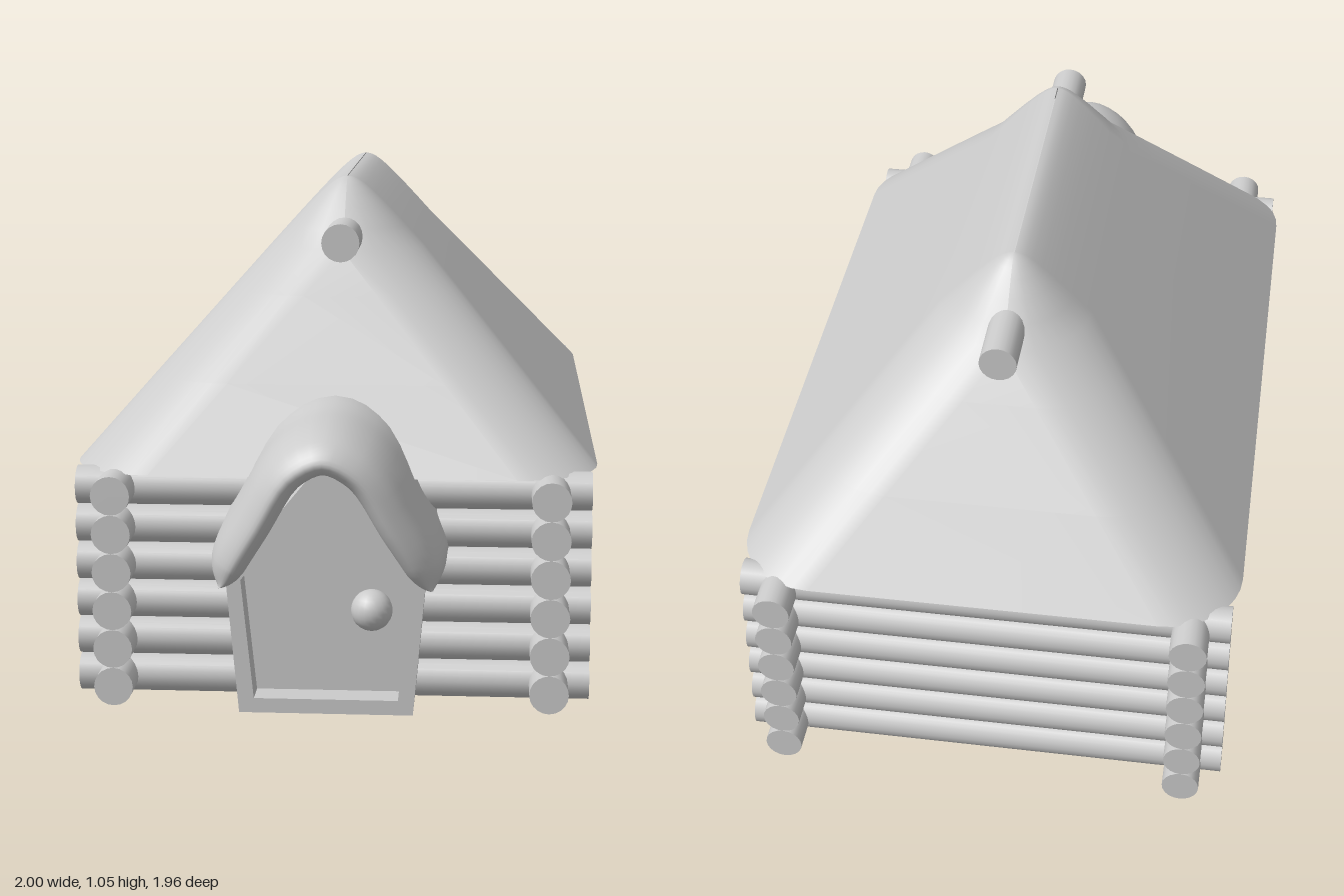
import * as THREE from 'three';

const material = new THREE.MeshStandardMaterial({ color: 0xcccccc });
const openMaterial = new THREE.MeshStandardMaterial({ color: 0xcccccc, side: THREE.DoubleSide });

function add(parent, name, geometry, mat = material) {
  const mesh = new THREE.Mesh(geometry, mat);
  mesh.name = name;
  parent.add(mesh);
  return mesh;
}

// Smooth surface through rows of points; each row is a closed loop
function skin(rows) {
  const n = rows[0].length, index = [];
  for (let i = 0; i < rows.length - 1; i++) {
    for (let j = 0; j < n; j++) {
      const k = (j + 1) % n;
      const a = i * n + j, b = i * n + k, c = a + n, d = b + n;
      index.push(a, b, c, c, b, d);
    }
  }
  const geometry = new THREE.BufferGeometry();
  geometry.setAttribute('position', new THREE.Float32BufferAttribute(rows.flat(2), 3));
  geometry.setIndex(index);
  geometry.computeVertexNormals();
  return geometry;
}

// Six stacked logs per wall, crossing at the corners
function addWalls(house) {
  const walls = new THREE.Group();
  walls.name = 'logWalls';
  house.add(walls);
  const r = 0.0405;
  const longLog = new THREE.CylinderGeometry(r, r, 1.82, 20).rotateZ(Math.PI / 2);
  const shortLog = new THREE.CylinderGeometry(r, r, 1.07, 20).rotateX(Math.PI / 2);
  for (let i = 0; i < 6; i++) {
    const y = r + i * 2 * r;
    for (const side of [-1, 1]) {
      add(walls, 'longLog', longLog).position.set(0, y, side * 0.45);
      add(walls, 'shortLog', shortLog).position.set(side * 0.8, y, 0);
    }
  }
}

// Hipped roof: rounded rectangles growing downward from a soft ridge
function roofGeometry() {
  const steps = [0.001, 0.012, 0.025, 0.04, 0.06, 0.09, 0.13, 0.17, 0.25, 0.4, 0.55];
  const rows = steps.map((d) => {
    const r = Math.min(d, 0.17);
    const a = 0.35 + 0.927 * d - r, b = d - r;
    const y = 1.1 - 1.127 * Math.hypot(d, 0.04);
    const loop = [];
    for (let q = 0; q < 4; q++) {
      const sx = q === 0 || q === 3 ? 1 : -1, sz = q < 2 ? 1 : -1;
      for (let k = 0; k <= 8; k++) {
        const t = (q + k / 8) * Math.PI / 2;
        loop.push([sx * a + r * Math.cos(t), y, sz * b + r * Math.sin(t)]);
      }
    }
    return loop;
  });
  return skin(rows);
}

// Soft porch hood: a rounded slab profile swept over a bell-shaped arch
function hoodGeometry() {
  const v = (x, y) => new THREE.Vector3(x, y, 0);
  const half = [[0.215, 0.29], [0.2, 0.34], [0.15, 0.43], [0.08, 0.54]];
  const arch = new THREE.CatmullRomCurve3([
    ...half.map(([z, y]) => v(-z, y)), v(0, 0.578), ...half.reverse().map(([z, y]) => v(z, y)),
  ]);
  const profile = new THREE.CatmullRomCurve3([
    v(-0.7, 0.04), v(-0.85, 0.042), v(-1.0, 0.036), v(-1.07, 0.016), v(-1.1, -0.02),
    v(-1.08, -0.042), v(-1.0, -0.045), v(-0.85, -0.04), v(-0.7, -0.04),
  ], true).getPoints(44).slice(0, -1);
  const rows = [];
  for (let i = 0; i <= 48; i++) {
    const s = -Math.cos(i / 48 * Math.PI);
    const u = (s + 1) / 2;
    const p = arch.getPoint(u), t = arch.getTangent(u);
    const thick = Math.sqrt(Math.max(0, 1 - s ** 6));
    rows.push(profile.map((c) => [
      -0.7 + (c.x + 0.7) * (1 - 0.18 * s * s),
      p.y + t.x * c.y * thick,
      p.x - t.y * c.y * thick,
    ]));
  }
  return skin(rows);
}

// Five-sided doorway outline
function doorway(w, bottom, eave, peak) {
  return [[-w, bottom], [w, bottom], [w + 0.025, eave], [0, peak], [-w - 0.025, eave]]
    .map(([x, y]) => new THREE.Vector2(x, y));
}

function addPorch(house) {
  const porch = new THREE.Group();
  porch.name = 'porch';
  porch.rotation.y = -Math.PI / 2;
  house.add(porch);

  const outer = doorway(0.175, 0.03, 0.31, 0.555);
  const inner = doorway(0.145, 0.06, 0.305, 0.515);
  const frame = new THREE.Shape(outer);
  frame.holes.push(new THREE.Path(inner));
  add(porch, 'doorFrame', new THREE.ExtrudeGeometry(frame, { depth: 0.28, bevelEnabled: false }))
    .position.z = 0.74;
  add(porch, 'door', new THREE.ExtrudeGeometry(new THREE.Shape(inner), { depth: 0.03, bevelEnabled: false }))
    .position.z = 0.93;
  add(porch, 'doorKnob', new THREE.SphereGeometry(0.042, 20, 14)).position.set(0.09, 0.235, 0.975);
  add(house, 'porchHood', hoodGeometry(), openMaterial);
}

export function createModel() {
  const model = new THREE.Group();
  model.name = 'logCabin';
  const house = new THREE.Group();
  house.name = 'house';
  house.rotation.y = THREE.MathUtils.degToRad(43.5);
  model.add(house);

  addWalls(house);
  add(house, 'roof', roofGeometry(), openMaterial);

  // Ridge pole poking out of both roof ends
  const pole = new THREE.CylinderGeometry(0.041, 0.041, 1.18, 20).rotateZ(Math.PI / 2);
  add(house, 'ridgePole', pole).position.y = 0.93;

  addPorch(house);
  return model;
}
